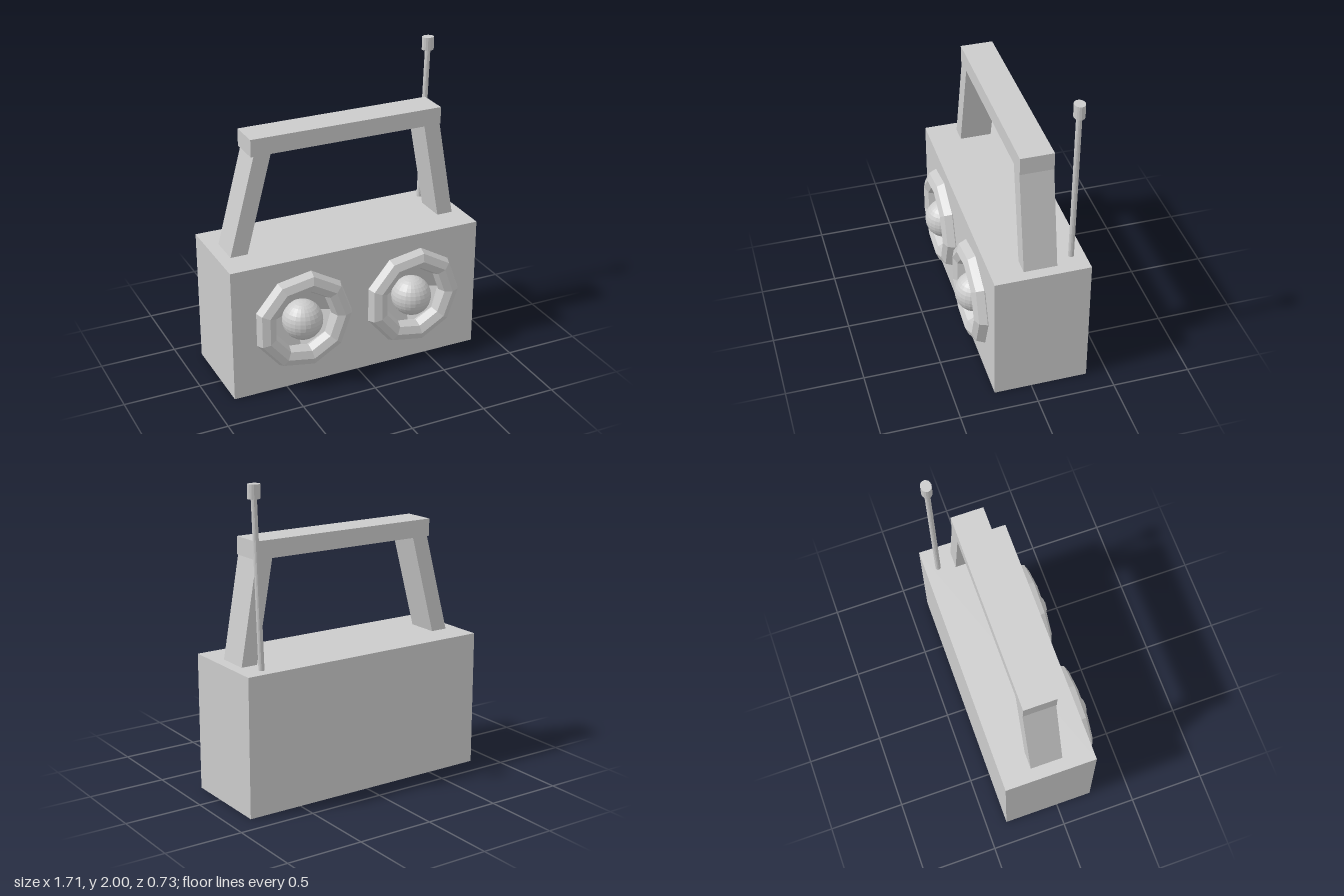
import * as THREE from 'three';

const mat = new THREE.MeshStandardMaterial({ color: 0xcccccc, flatShading: true, side: THREE.DoubleSide });

function add(parent, name, geometry, x = 0, y = 0, z = 0) {
  const mesh = new THREE.Mesh(geometry, mat);
  mesh.name = name;
  mesh.position.set(x, y, z);
  parent.add(mesh);
  return mesh;
}

// Extrude an outline in x/y from the given back z by a depth
function prism(points, zBack, depth) {
  const shape = new THREE.Shape(points.map(([x, y]) => new THREE.Vector2(x, y)));
  return new THREE.ExtrudeGeometry(shape, { depth, bevelEnabled: false }).translate(0, 0, zBack);
}

export function createModel() {
  const radio = new THREE.Group();
  radio.name = 'radio';

  const W = 1.71, H = 0.885, FRONT = 0.24, BACK = -0.365;
  const RECESS = 0.29, RECESS_DEPTH = 0.14;
  const speakers = [
    { name: 'rightSpeaker', x: -0.382, y: 0.463 },
    { name: 'leftSpeaker', x: 0.388, y: 0.455 },
  ];

  // Case: a box without its front, closed by a panel with speaker openings
  const box = new THREE.BoxGeometry(W, H, FRONT - BACK);
  const index = Array.from(box.index.array);
  index.splice(24, 6);
  box.setIndex(index);
  box.clearGroups();
  add(radio, 'case', box, 0, H / 2, (FRONT + BACK) / 2);

  const panel = new THREE.Shape([
    new THREE.Vector2(-W / 2, 0), new THREE.Vector2(W / 2, 0),
    new THREE.Vector2(W / 2, H), new THREE.Vector2(-W / 2, H),
  ]);
  for (const s of speakers) {
    const corners = [0, 1, 2, 3].map((i) => new THREE.Vector2(
      s.x + RECESS * Math.cos(-i * Math.PI / 2), s.y + RECESS * Math.sin(-i * Math.PI / 2)));
    panel.holes.push(new THREE.Path(corners).closePath());
  }
  add(radio, 'frontPanel', new THREE.ShapeGeometry(panel), 0, 0, FRONT);

  // Speakers: faceted ring, four-sided sunken cone and round centre
  for (const s of speakers) {
    const speaker = new THREE.Group();
    speaker.name = s.name;
    speaker.position.set(s.x, s.y, FRONT);
    radio.add(speaker);
    add(speaker, 'speakerRing', new THREE.TorusGeometry(0.265, 0.07, 8, 9), 0, 0, 0.005);
    const cone = new THREE.ConeGeometry(RECESS, RECESS_DEPTH, 4, 1, true).rotateX(-Math.PI / 2);
    add(speaker, 'speakerCone', cone, 0, 0, -RECESS_DEPTH / 2);
    add(speaker, 'speakerCentre', new THREE.SphereGeometry(0.13, 24, 16), 0, -0.004, -0.005);
  }

  // Handle: two leaning legs and a crossbar
  const handle = new THREE.Group();
  handle.name = 'handle';
  radio.add(handle);
  const zBack = -0.17, depth = 0.21;
  add(handle, 'rightLeg', prism([[-0.775, 0.88], [-0.662, 0.88], [-0.49, 1.53], [-0.602, 1.53]], zBack, depth));
  add(handle, 'leftLeg', prism([[0.678, 0.88], [0.785, 0.88], [0.67, 1.53], [0.56, 1.53]], zBack, depth));
  add(handle, 'crossbar', prism([[-0.62, 1.525], [0.677, 1.525], [0.677, 1.637], [-0.62, 1.637]], zBack, depth));

  // Antenna: thin leaning rod with a cap
  const antenna = new THREE.Group();
  antenna.name = 'antenna';
  radio.add(antenna);
  const base = new THREE.Vector3(0.713, 0.87, -0.28), top = new THREE.Vector3(0.748, 1.93, -0.28);
  const rod = add(antenna, 'rod', new THREE.CylinderGeometry(0.018, 0.018, base.distanceTo(top), 12));
  rod.position.copy(base).lerp(top, 0.5);
  rod.quaternion.setFromUnitVectors(new THREE.Vector3(0, 1, 0), top.clone().sub(base).normalize());
  add(antenna, 'cap', new THREE.CylinderGeometry(0.04, 0.04, 0.086, 16).scale(1, 1, 0.85), 0.748, 1.957, -0.28);

  return radio;
}
